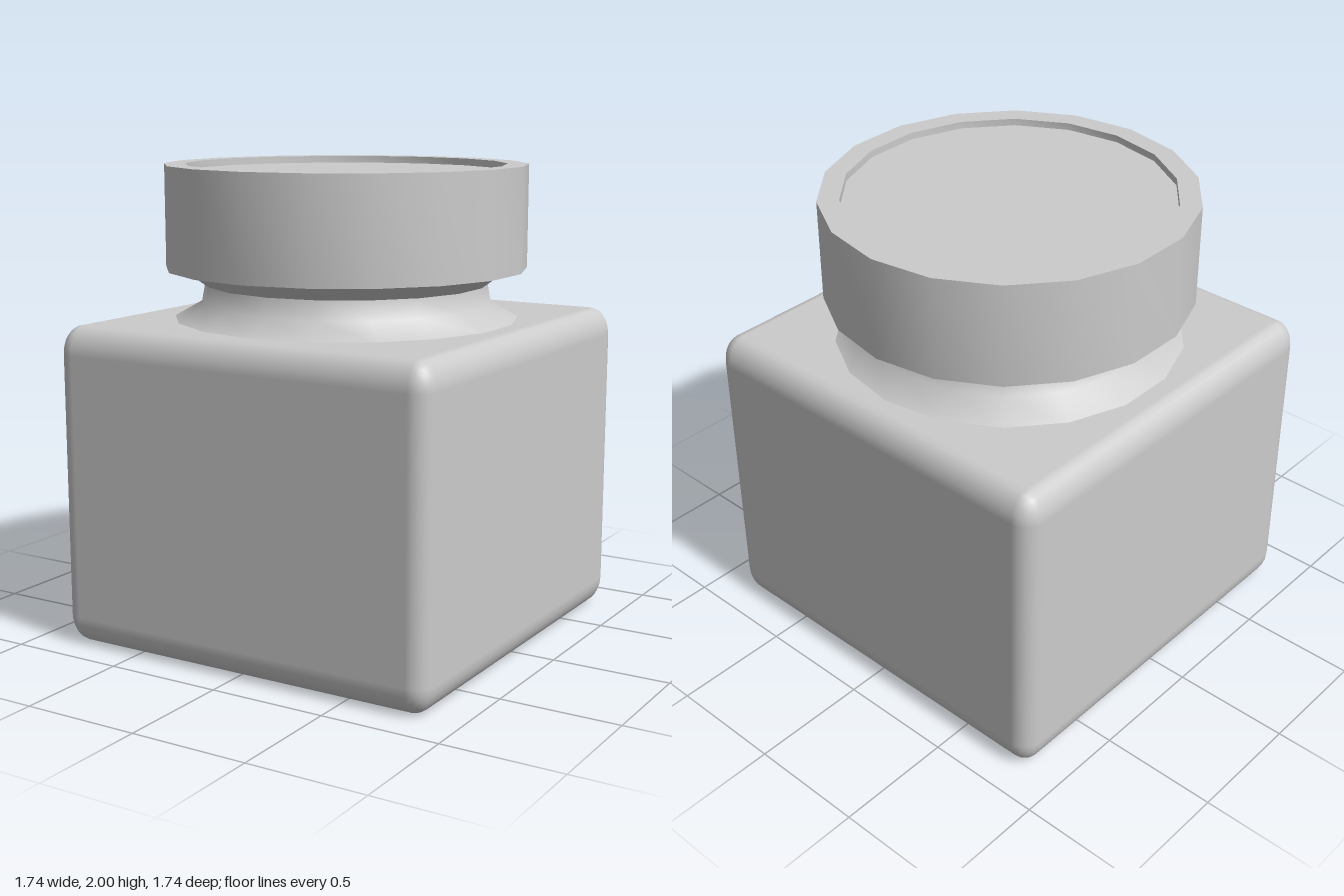
import * as THREE from 'three';
import { toCreasedNormals } from 'three/addons/utils/BufferGeometryUtils.js';
import { RoundedBoxGeometry } from 'three/addons/geometries/RoundedBoxGeometry.js';

const SIDES = 18;
const BODY_HEIGHT = 1.355;

export function createModel() {
  const group = new THREE.Group();
  const material = new THREE.MeshStandardMaterial({ color: 0xcccccc });

  const add = (name, geometry) => {
    const mesh = new THREE.Mesh(geometry, material);
    mesh.name = name;
    group.add(mesh);
    return mesh;
  };

  // Turned part from [radius, y] points running bottom to top on the outside
  const turned = (name, profile) => {
    const points = profile.map(([r, y]) => new THREE.Vector2(r, y));
    return add(name, toCreasedNormals(new THREE.LatheGeometry(points, SIDES), 0.95));
  };

  // Square jar body; its rounding is taller than it is wide
  const stretch = 1.4;
  const body = add('jarBody', new RoundedBoxGeometry(1.74, BODY_HEIGHT / stretch, 1.74, 3, 0.085));
  body.scale.y = stretch;
  body.position.y = BODY_HEIGHT / 2;

  // Neck flaring into the shoulder below and into the lid above
  turned('neck', [[0.735, 1.352], [0.615, 1.42], [0.6, 1.5], [0.69, 1.566]]);

  // Lid with a raised rim around a shallow recess
  turned('lid', [
    [0.68, 1.566], [0.766, 1.566], [0.766, 2],
    [0.677, 2], [0.677, 1.97], [0, 1.97],
  ]);

  return group;
}
